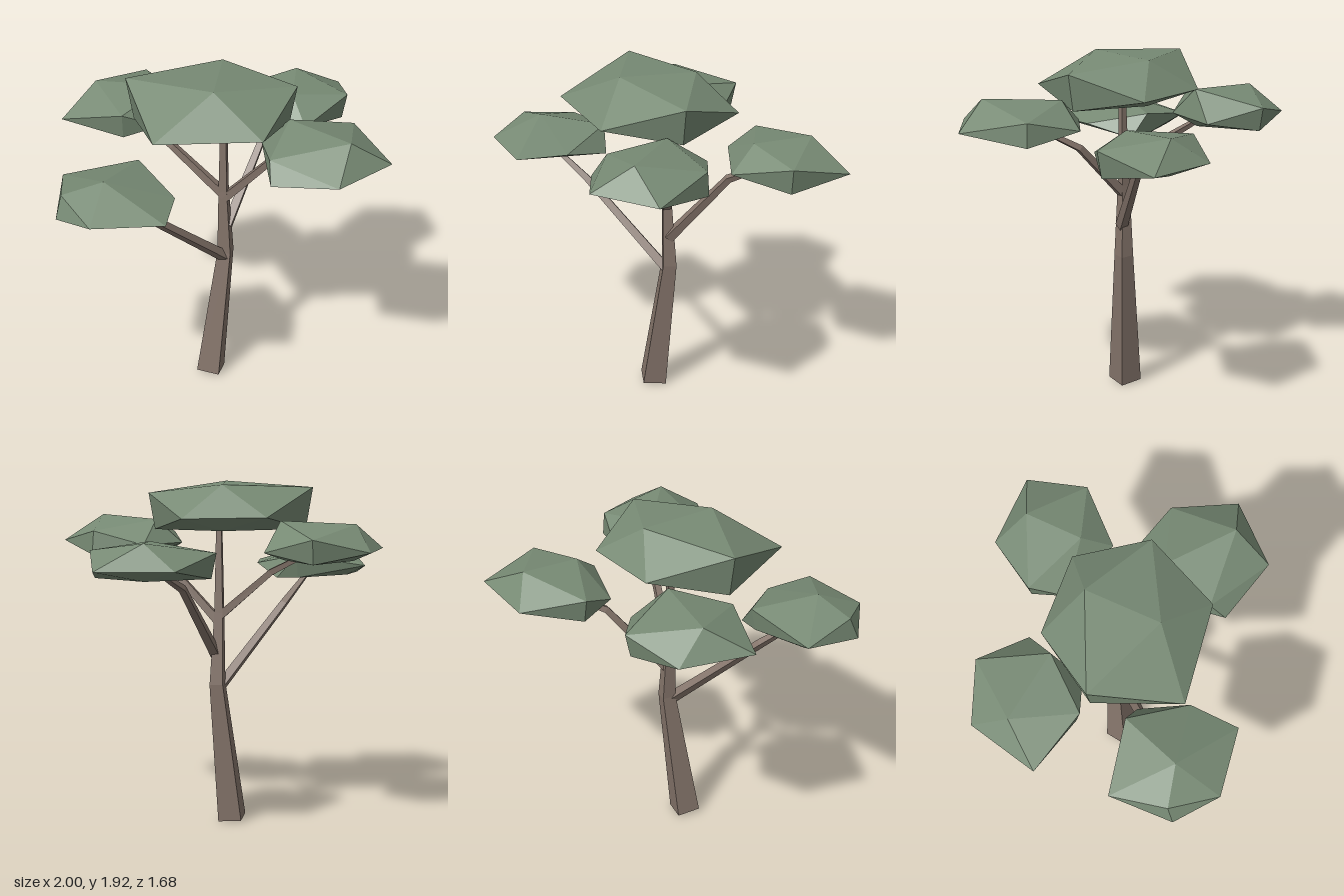
import * as THREE from 'three';
import { ConvexGeometry } from 'three/addons/geometries/ConvexGeometry.js';

const bark = new THREE.MeshStandardMaterial({ color: 0x84746a, flatShading: true });
bark.name = 'bark';
const foliage = new THREE.MeshStandardMaterial({ color: 0x778a74, flatShading: true });
foliage.name = 'foliage';

const UP = new THREE.Vector3(0, 1, 0);
const SIDES = 4;

// Tapered four-sided limb through stations [x, y, z, radius]
function limb(name, stations) {
  const centres = stations.map(([x, y, z]) => new THREE.Vector3(x, y, z));
  const last = centres.length - 1;
  const rings = centres.map((c, i) => {
    const dir = centres[Math.min(i + 1, last)].clone().sub(centres[Math.max(i - 1, 0)]).normalize();
    const q = new THREE.Quaternion().setFromUnitVectors(UP, dir);
    return Array.from({ length: SIDES }, (_, k) => {
      const a = (k / SIDES) * Math.PI * 2;
      return new THREE.Vector3(Math.sin(a), 0, Math.cos(a))
        .multiplyScalar(stations[i][3]).applyQuaternion(q).add(c);
    });
  });
  const tris = [];
  for (let k = 0; k < SIDES; k++) {
    const n = (k + 1) % SIDES;
    for (let i = 0; i < last; i++) {
      const a = rings[i], b = rings[i + 1];
      tris.push(a[k], a[n], b[n], a[k], b[n], b[k]);
    }
    tris.push(centres[0], rings[0][n], rings[0][k]);
    tris.push(centres[last], rings[last][k], rings[last][n]);
  }
  const geo = new THREE.BufferGeometry().setFromPoints(tris);
  geo.computeVertexNormals();
  const mesh = new THREE.Mesh(geo, bark);
  mesh.name = name;
  return mesh;
}

// Faceted crown: upper corners, rim corners, and the upper corners pressed flat onto the base
function crown(name, base, upper, rim) {
  const pts = [...upper, ...rim].map((p) => new THREE.Vector3(...p));
  const n = upper.length;
  const mid = new THREE.Vector3();
  pts.forEach((p) => mid.addScaledVector(p, 1 / pts.length));
  for (let i = 0; i < n; i++) {
    const p = pts[i].clone().lerp(mid, 0.08);
    pts.push(p.setY(base));
  }
  const mesh = new THREE.Mesh(new ConvexGeometry(pts), foliage);
  mesh.name = name;
  return mesh;
}

export function createModel() {
  const tree = new THREE.Group();
  tree.name = 'tree';

  tree.add(
    limb('trunk', [[-0.05, 0.015, 0, 0.093], [0.055, 0.8, -0.012, 0.053], [0.04, 1.2, -0.008, 0.033], [0.035, 1.7, 0, 0.02]]),
    limb('rightBranch', [[0.04, 0.77, 0, 0.035], [-0.46, 1.21, 0.08, 0.026], [-0.7, 1.4, 0.14, 0.014]]),
    limb('leftBackBranch', [[0.06, 0.97, 0, 0.035], [0.36, 1.36, -0.14, 0.025], [0.58, 1.47, -0.25, 0.014]]),
    limb('rightBackBranch', [[0.045, 1.17, 0, 0.032], [-0.16, 1.43, -0.22, 0.024], [-0.28, 1.56, -0.45, 0.014]]),
    limb('leftFrontBranch', [[0.05, 1.16, 0, 0.032], [0.22, 1.44, 0.2, 0.024], [0.32, 1.57, 0.42, 0.014]]),
  );

  tree.add(
    crown('topCrown', 1.66,
      [[-0.13, 1.92, 0.18], [0.12, 1.91, -0.16], [-0.42, 1.89, -0.25], [0.35, 1.86, 0.23]],
      [[0, 1.74, -0.41], [0.39, 1.735, -0.18], [-0.01, 1.74, 0.48], [-0.51, 1.74, 0.23]]),
    crown('rightBackCrown', 1.51,
      [[-0.41, 1.705, -0.65], [-0.11, 1.72, -0.38], [-0.04, 1.64, -0.76], [-0.43, 1.65, -0.29]],
      [[-0.36, 1.565, -0.84], [-0.66, 1.565, -0.57], [0.06, 1.56, -0.47], [-0.22, 1.56, -0.24]]),
    crown('leftBackCrown', 1.435,
      [[0.73, 1.63, -0.37], [0.54, 1.62, -0.11], [0.33, 1.57, -0.43], [0.85, 1.58, -0.02]],
      [[0.66, 1.495, -0.56], [1, 1.495, -0.33], [0.52, 1.495, 0.06], [0.28, 1.495, -0.24]]),
    crown('leftFrontCrown', 1.52,
      [[0.385, 1.725, 0.69], [0.27, 1.71, 0.285], [0.61, 1.65, 0.39], [0.03, 1.625, 0.48]],
      [[0.22, 1.58, 0.84], [0.6, 1.58, 0.76], [0.43, 1.58, 0.15], [0.14, 1.58, 0.22],
        [-0.01, 1.52, 0.56], [0.62, 1.52, 0.39]]),
    crown('rightCrown', 1.37,
      [[-0.75, 1.55, 0.14], [-0.955, 1.49, 0.06], [-0.45, 1.5, -0.06]],
      [[-0.82, 1.435, -0.22], [-0.59, 1.435, 0.51], [-0.93, 1.43, 0.34], [-0.42, 1.435, 0.29],
        [-1, 1.37, 0.08], [-0.37, 1.37, 0.02], [-0.64, 1.37, 0.31], [-0.76, 1.38, -0.13]]),
  );
  return tree;
}
